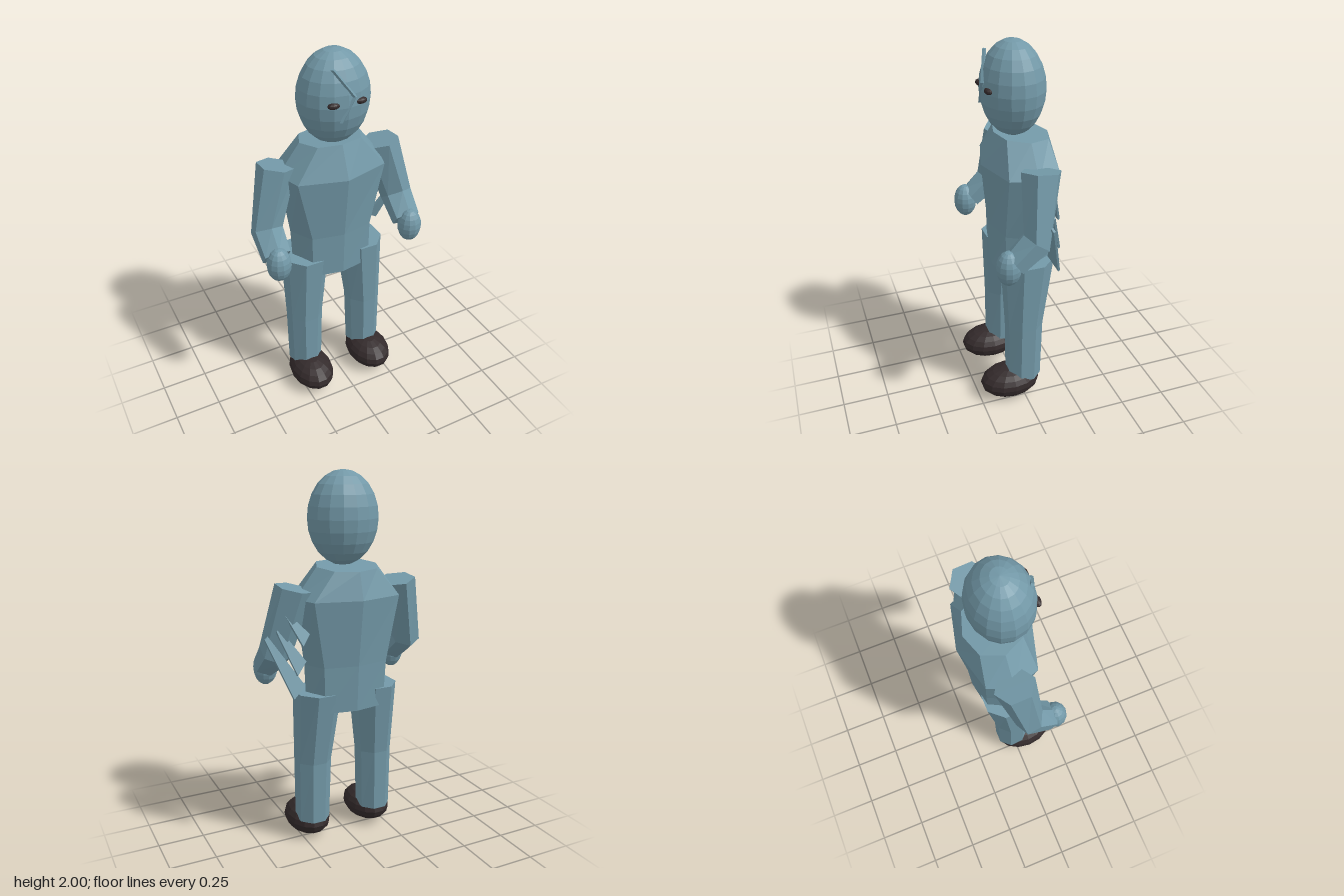
import * as THREE from 'three';

const V = (x, y, z) => new THREE.Vector3(x, y, z);

// Capped, flat-faced skin through a list of rings with equal point counts
function loft(rings) {
  const pos = [];
  const tri = (a, b, c) => [a, b, c].forEach(p => pos.push(p.x, p.y, p.z));
  const n = rings[0].length;
  for (let k = 0; k < rings.length - 1; k++) {
    for (let i = 0; i < n; i++) {
      const j = (i + 1) % n, a = rings[k], b = rings[k + 1];
      tri(a[i], a[j], b[j]);
      tri(a[i], b[j], b[i]);
    }
  }
  const first = rings[0], last = rings[rings.length - 1];
  for (let i = 1; i < n - 1; i++) {
    tri(first[0], first[i + 1], first[i]);
    tri(last[0], last[i], last[i + 1]);
  }
  const g = new THREE.BufferGeometry();
  g.setAttribute('position', new THREE.Float32BufferAttribute(pos, 3));
  g.computeVertexNormals();
  return g;
}

// Elliptical ring around a centre, facing along a direction
function ring(center, dir, ru, rv, sides, phase = 0) {
  const t = dir.clone().normalize();
  const v = V(1, 0, 0).addScaledVector(t, -t.x).normalize();
  const u = v.clone().cross(t);
  return Array.from({ length: sides }, (_, i) => {
    const a = (i + phase) / sides * Math.PI * 2;
    return center.clone().addScaledVector(u, Math.cos(a) * ru).addScaledVector(v, Math.sin(a) * rv);
  });
}

// Faceted ellipsoid
function ellipsoid(c, r, w, h) {
  const g = new THREE.SphereGeometry(1, w, h).scale(...r).translate(...c).toNonIndexed();
  g.computeVertexNormals();
  return g;
}

export function createModel() {
  const model = new THREE.Group();
  model.name = 'figure';
  const skin = new THREE.MeshStandardMaterial({ color: 0x7399a8 });
  skin.name = 'blueGreySkin';
  const dark = new THREE.MeshStandardMaterial({ color: 0x332a2b });
  dark.name = 'darkBrown';
  for (const m of [skin, dark]) m.flatShading = true;

  const add = (name, geometry, material = skin) => {
    const mesh = new THREE.Mesh(geometry, material);
    mesh.name = name;
    model.add(mesh);
  };

  // Torso: eight-sided rings, each row [y, front z, front corner x, z, side x, z, back corner x, z, back z, tilt]
  const torsoRows = [
    [0.77, 0.11, 0.17, 0.08, 0.23, -0.04, 0.17, -0.15, -0.18, 0],
    [1.02, 0.12, 0.17, 0.085, 0.24, -0.04, 0.18, -0.16, -0.195, 0],
    [1.37, 0.16, 0.245, 0.09, 0.29, -0.05, 0.24, -0.18, -0.24, 0],
    [1.53, 0.09, 0.12, 0.06, 0.17, -0.05, 0.12, -0.16, -0.20, 0.1],
  ];
  add('torso', loft(torsoRows.map(([y, fz, fx, fcz, sx, sz, bx, bcz, bz, tilt]) =>
    [[0, fz], [fx, fcz], [sx, sz], [bx, bcz], [0, bz], [-bx, bcz], [-sx, sz], [-fx, fcz]]
      .map(([x, z]) => V(x, y + z * tilt, z)))));

  // Head
  add('head', ellipsoid([0, 1.76, -0.01], [0.187, 0.24, 0.165], 16, 12));

  for (const [side, s] of [['left', 1], ['right', -1]]) {
    add(side + 'Eye', ellipsoid([s * 0.072, 1.778, 0.136], [0.032, 0.016, 0.02], 10, 8), dark);

    // Bent arm: shoulder, elbow, wrist
    add(side + 'Arm', loft([
      ring(V(s * 0.295, 1.43, -0.055), V(s * 0.2, -1, 0.1), 0.105, 0.1, 6),
      ring(V(s * 0.385, 1.1, -0.005), V(s * 0.05, -0.8, 0.55), 0.085, 0.085, 6),
      ring(V(s * 0.385, 1.0, 0.11), V(0, -0.55, 0.8), 0.065, 0.08, 6),
    ]));
    add(side + 'Hand', ellipsoid([s * 0.388, 0.977, 0.143], [0.065, 0.095, 0.064], 12, 10));

    // Leg: hip, knee, ankle
    const down = V(0, -1, 0);
    add(side + 'Leg', loft([
      ring(V(s * 0.165, 0.87, -0.035), down, 0.145, 0.128, 8, 0.5),
      ring(V(s * 0.186, 0.47, -0.012), down, 0.105, 0.1, 8, 0.5),
      ring(V(s * 0.19, 0.12, -0.008), down, 0.1, 0.093, 8, 0.5),
    ]));
    add(side + 'Foot', ellipsoid([s * 0.19, 0.09, 0.07], [0.12, 0.087, 0.17], 14, 10), dark);
  }

  // Crooked ridge on the face
  const ridge = [V(-0.065, 1.945, 0.11), V(0.03, 1.81, 0.152), V(-0.035, 1.69, 0.145)];
  add('faceRidge', loft(ridge.map(p => ring(p, V(0, -1, 0), 0.01, 0.011, 4))));

  // Blades behind the left elbow, each widening from its tip: [tip, lower inner corner, lower outer corner]
  const blades = [
    [V(0.455, 1.19, -0.06), V(0.27, 0.93, -0.115), V(0.345, 0.875, -0.145)],
    [V(0.4, 1.23, -0.08), V(0.265, 1.06, -0.12), V(0.325, 1.0, -0.15)],
    [V(0.36, 1.31, -0.1), V(0.245, 1.2, -0.12), V(0.295, 1.15, -0.155)],
  ];
  blades.forEach(([tip, a, b], i) => {
    const across = b.clone().sub(a).normalize();
    const along = a.clone().add(b).multiplyScalar(0.5).sub(tip).normalize();
    const n = along.clone().cross(across).normalize().multiplyScalar(0.006);
    const section = (p, q) => [p.clone().sub(n), q.clone().sub(n), q.clone().add(n), p.clone().add(n)];
    const p = tip.clone().addScaledVector(across, -0.012), q = tip.clone().addScaledVector(across, 0.012);
    add('elbowBlade' + (i + 1), loft([section(p, q), section(a, b)]));
  });

  return model;
}
